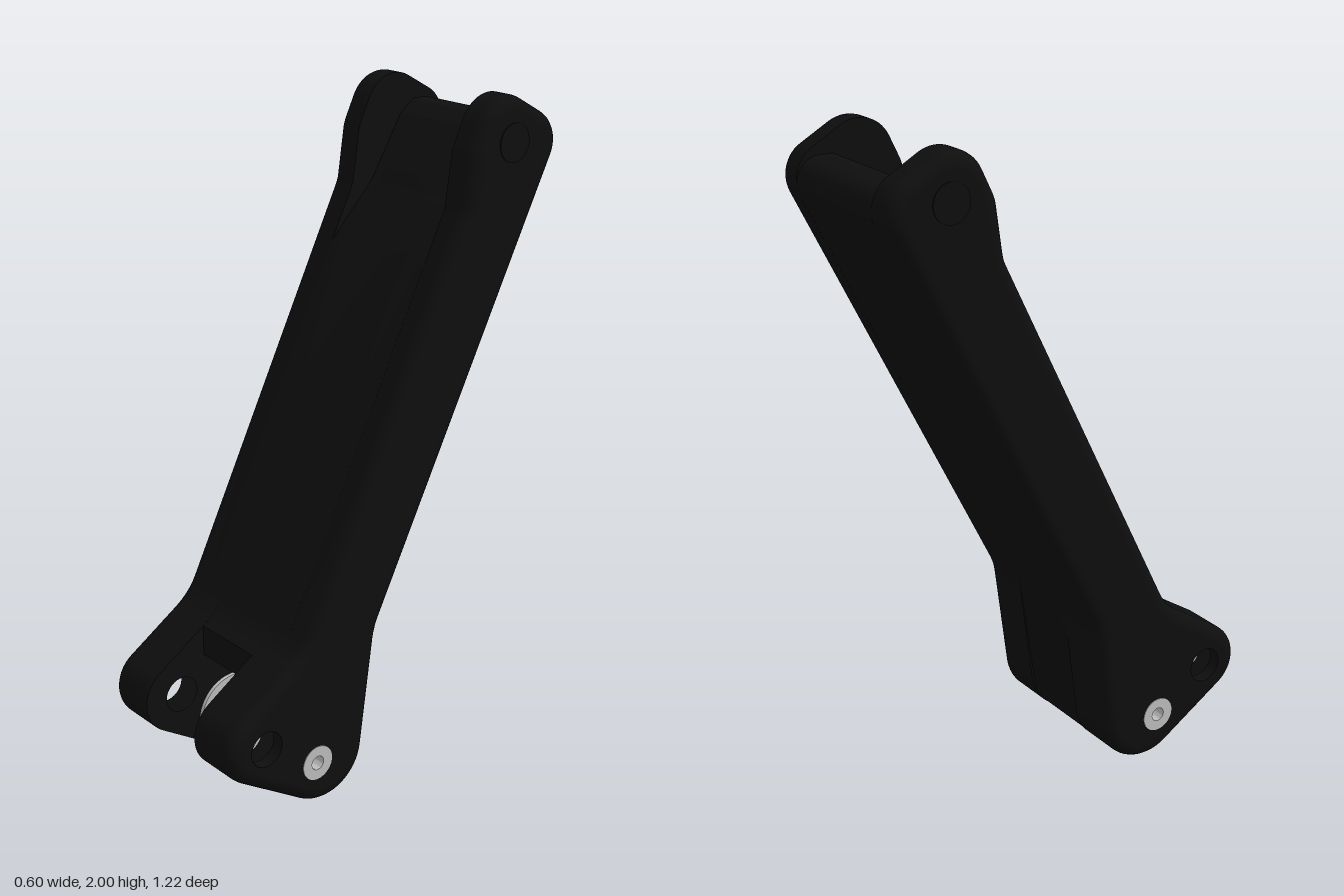
import * as THREE from 'three';
import { toCreasedNormals } from 'three/addons/utils/BufferGeometryUtils.js';

const V = (x, y) => new THREE.Vector2(x, y);

// Polygon of [u, y, radius] corners (u = -z) with each corner rounded by an arc
function rounded(corners) {
  const out = [];
  const n = corners.length;
  corners.forEach(([x, y, r = 0], i) => {
    const p = V(x, y);
    if (!r) { out.push(p); return; }
    const a = V(...corners[(i + n - 1) % n]).sub(p).normalize();
    const b = V(...corners[(i + 1) % n]).sub(p).normalize();
    const half = Math.acos(a.dot(b)) / 2;
    const t = r / Math.tan(half);
    const c = p.clone().addScaledVector(a.clone().add(b).normalize(), r / Math.sin(half));
    const s = p.clone().addScaledVector(a, t).sub(c);
    const e = p.clone().addScaledVector(b, t).sub(c);
    const sweep = Math.atan2(s.cross(e), s.dot(e));
    const steps = Math.max(3, Math.ceil(Math.abs(sweep) / 0.12));
    for (let k = 0; k <= steps; k++) {
      out.push(s.clone().rotateAround(V(0, 0), sweep * k / steps).add(c));
    }
  });
  return out;
}

// Moves a clockwise contour inwards
function inset(pts, d) {
  const n = pts.length;
  return pts.map((p, i) => {
    const t = p.clone().sub(pts[(i + n - 1) % n]).normalize()
      .add(pts[(i + 1) % n].clone().sub(p).normalize()).normalize();
    return V(p.x + t.y * d, p.y - t.x * d);
  });
}

function shapeOf(pts, holes = []) {
  const s = new THREE.Shape(pts);
  for (const [x, y, r] of holes) {
    s.holes.push(new THREE.Path().absarc(x, y, r, 0, Math.PI * 2, true));
  }
  return s;
}

function slab(pts, holes, x0, x1) {
  const g = new THREE.ExtrudeGeometry(shapeOf(pts, holes), { depth: x1 - x0, bevelEnabled: false, curveSegments: 24 });
  return toCreasedNormals(g.translate(0, 0, x0).rotateY(Math.PI / 2), 0.5);
}

// Quarter-round edge strip from x0 outwards by r
function roundedEdge(pts, x0, r) {
  const pos = [], idx = [], n = pts.length, steps = 6;
  for (let k = 0; k <= steps; k++) {
    const a = (k / steps) * Math.PI / 2;
    for (const p of inset(pts, r * (1 - Math.cos(a)))) pos.push(p.x, p.y, x0 + r * Math.sin(a));
  }
  for (let k = 0; k < steps; k++) {
    for (let i = 0; i < n; i++) {
      const j = (i + 1) % n;
      const a = k * n + i, b = k * n + j, c = b + n, d = a + n;
      idx.push(a, d, b, b, d, c);
    }
  }
  const g = new THREE.BufferGeometry();
  g.setAttribute('position', new THREE.Float32BufferAttribute(pos, 3));
  g.setIndex(idx);
  g.computeVertexNormals();
  return g.rotateY(Math.PI / 2);
}

// Mirrored copy across x with the corner order restored
function mirrored(geo) {
  const g = geo.index ? geo.toNonIndexed() : geo.clone();
  for (const name of ['position', 'normal']) {
    const at = g.attributes[name];
    for (let i = 0; i < at.count; i += 3) {
      const v = [0, 2, 1].map(k => [-at.getX(i + k), at.getY(i + k), at.getZ(i + k)]);
      v.forEach((q, k) => at.setXYZ(i + k, ...q));
    }
  }
  return g;
}

export function createModel() {
  const black = new THREE.MeshStandardMaterial({ color: 0x0e0e0e });
  black.name = 'black';
  const silver = new THREE.MeshStandardMaterial({ color: 0xbcbcbc });
  silver.name = 'silver';
  const model = new THREE.Group();
  model.name = 'leverArm';

  const add = (name, geo, mat) => {
    const m = new THREE.Mesh(geo, mat);
    m.name = name;
    model.add(m);
  };
  const pair = (name, geo, mat) => {
    add(name + 'Left', geo, mat);
    add(name + 'Right', mirrored(geo), mat);
  };

  // Side profiles: whole, with the upper slot, with both slots
  const tip = [-0.705, 0.255, 0.115];
  const frontBend = [-0.3375, 0.494, 0.2];
  const backBend = [-0.06, 0.5, 0.2];
  const heel = [-0.143, -0.1026, 0.15];
  const head = [[0.255, 1.69, 0.1], [0.28, 1.86, 0.12], [0.37, 2.045, 0.11], [0.6437, 1.893, 0.1]];
  const upperSlot = [[0.176, 1.5315], [0.33, 1.69, 0.03], [0.445, 1.878, 0.04], [0.495, 1.915, 0.02], [0.6545, 1.915, 0.07]];
  const lowerSlot = [[-0.125, 0.09], [-0.15, 0.05], [-0.2, 0.014], [-0.165, 0.1], [-0.15, 0.2], [-0.15, 0.34, 0.04], [-0.395, 0.36], [-0.395, 0.456]];
  const full = rounded([tip, frontBend, ...head, backBend, heel]);
  const inner = rounded([tip, frontBend, ...upperSlot, backBend, heel]);
  const core = rounded([frontBend, ...upperSlot, backBend, ...lowerSlot]);

  const pin = [-0.295, 0.14, 0.05];
  const holes = [[-0.48, 0.255, 0.055], pin];
  const W = 0.295, R = 0.04;

  // Body layers across the width
  add('core', slab(core, [], -0.12, 0.12), black);
  pair('lowerLug', slab(inner, holes, 0.12, 0.2), black);
  pair('sideCheek', slab(full, holes, 0.2, W - R), black);
  pair('roundedEdge', roundedEdge(full, W - R, R), black);
  const face = new THREE.ShapeGeometry(shapeOf(inset(full, R), holes), 24);
  pair('sideFace', face.translate(0, 0, W).rotateY(Math.PI / 2), black);

  // Hole linings through the rounded layer
  const lining = new THREE.CylinderGeometry(0.055, 0.055, R, 48, 1, true).rotateZ(Math.PI / 2);
  lining.scale(-1, 1, 1).translate(W - R / 2, 0.255, 0.48);
  lining.attributes.normal.array.forEach((v, i, a) => { a[i] = -v; });
  pair('pivotHole', lining, black);

  // Plug of the upper pivot
  const plug = new THREE.CylinderGeometry(0.057, 0.057, 0.006, 40).rotateZ(Math.PI / 2);
  pair('upperPivotPlug', plug.translate(W, 1.87, -0.43), black);

  // Hollow pin and washers in the lower slot
  const ring = (ri, ro, x0, x1) => {
    const profile = [V(ri, x0), V(ro, x0), V(ro, x1), V(ri, x1), V(ri, x0)];
    const g = toCreasedNormals(new THREE.LatheGeometry(profile, 40), 0.5);
    return g.rotateZ(-Math.PI / 2).translate(0, pin[1], -pin[0]);
  };
  pair('hollowPin', ring(0.022, 0.054, 0.115, W + 0.002), silver);
  pair('washer', ring(0.03, 0.122, 0.108, 0.121), silver);

  return model;
}
